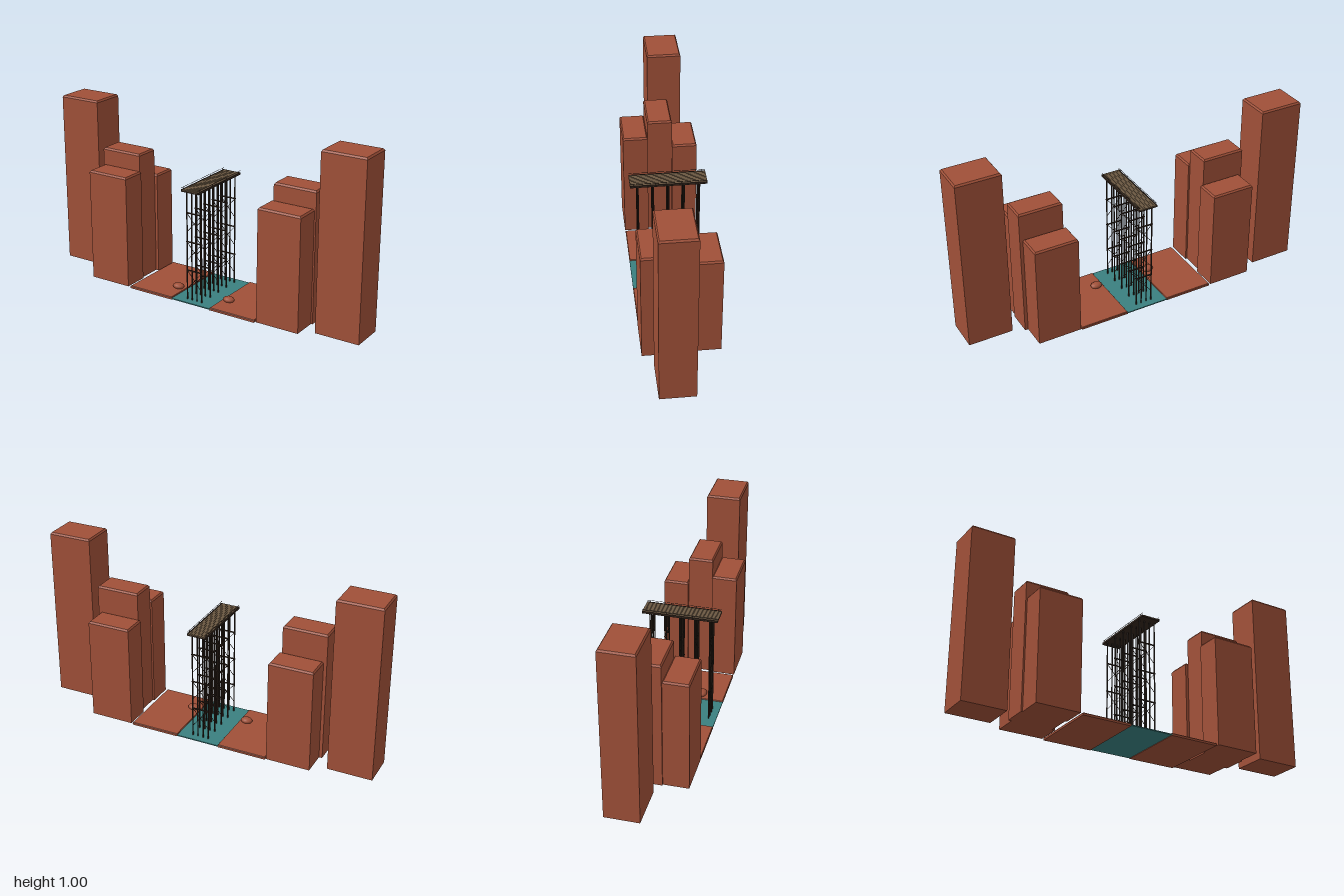
import * as THREE from 'three';

const brick = new THREE.MeshStandardMaterial({ color: 0xa05038, name: 'brick red' });
const water = new THREE.MeshStandardMaterial({ color: 0x3a8080, name: 'water teal' });
const timber = new THREE.MeshStandardMaterial({ color: 0x6b5842, name: 'deck timber' });
const iron = new THREE.MeshStandardMaterial({ color: 0x33261d, name: 'dark iron' });

function add(parent, name, geometry, material, x = 0, y = 0, z = 0) {
  const mesh = new THREE.Mesh(geometry, material);
  mesh.name = name;
  mesh.position.set(x, y, z);
  parent.add(mesh);
  return mesh;
}

// Box given by its limits, with a narrow chamfer around the top
function block(parent, name, [x0, x1], [y0, y1], [z0, z1], bevel) {
  const w = x1 - x0, h = y1 - y0, d = z1 - z0;
  const box = new THREE.BoxGeometry(w, h, d, 1, 2, 1);
  const p = box.attributes.position;
  for (let i = 0; i < p.count; i++) {
    const y = p.getY(i);
    if (Math.abs(y) < 1e-6) p.setY(i, h / 2 - bevel);
    else if (y > 0) {
      p.setX(i, p.getX(i) - Math.sign(p.getX(i)) * bevel * 0.7);
      p.setZ(i, p.getZ(i) - Math.sign(p.getZ(i)) * bevel * 0.7);
    }
  }
  const g = box.toNonIndexed();
  g.computeVertexNormals();
  return add(parent, name, g, brick, (x0 + x1) / 2, (y0 + y1) / 2, (z0 + z1) / 2);
}

// Thin rod between two points
function rod(parent, name, a, b, r, sides = 6) {
  const A = new THREE.Vector3(...a), B = new THREE.Vector3(...b);
  const dir = B.clone().sub(A);
  const m = add(parent, name, new THREE.CylinderGeometry(r, r, dir.length(), sides), iron);
  m.position.copy(A).add(B).multiplyScalar(0.5);
  m.quaternion.setFromUnitVectors(new THREE.Vector3(0, 1, 0), dir.normalize());
  return m;
}

export function createModel() {
  const model = new THREE.Group();
  model.name = 'canyonTrestle';

  // Stepped cliffs, banks and boulders on both sides
  for (const s of [-1, 1]) {
    const side = new THREE.Group();
    side.name = s < 0 ? 'rightCliffs' : 'leftCliffs';
    model.add(side);
    const span = (a, b) => (s > 0 ? [a, b] : [-b, -a]);
    block(side, 'tallCliff', span(0.747, 1), [0.008, 1.005], s > 0 ? [-0.04, 0.154] : [-0.154, 0.04], 0.01);
    block(side, 'middleCliff', span(0.434, 0.686), [0.008, 0.752], [-0.07, 0.07], 0.01);
    block(side, 'frontCliff', span(0.424, 0.677), [0.008, 0.655], [0.07, 0.212], 0.01);
    block(side, 'backCliff', span(0.417, 0.668), [0.008, 0.598], [-0.212, -0.07], 0.01);
    block(side, 'bank', span(0.125, 0.41), [0, 0.015], [-0.21, 0.21], 0.004);
    const rock = new THREE.IcosahedronGeometry(1, 1);
    rock.scale(0.035, 0.018, 0.027);
    add(side, 'boulder', rock, brick, s * 0.168, 0.026, 0.08);
  }

  add(model, 'river', new THREE.BoxGeometry(0.26, 0.006, 0.42), water, 0, 0.006, 0);

  // Trestle bents: four posts, three girts and crossed braces each
  const trestle = new THREE.Group();
  trestle.name = 'trestle';
  model.add(trestle);
  for (let i = -2; i <= 2; i++) {
    const z = i * 0.0835;
    for (const x of [-0.047, -0.016, 0.016, 0.047])
      rod(trestle, 'post', [x, 0.008, z], [x, 0.648, z], 0.004, 8);
    for (const y of [0.182, 0.35, 0.517]) {
      add(trestle, 'girt', new THREE.BoxGeometry(0.104, 0.006, 0.006), iron, 0, y, z);
      for (const s of [-1, 1])
        rod(trestle, 'brace', [-0.048 * s, y - 0.112, z], [0.048 * s, y, z], 0.0016);
    }
  }

  // Deck with lengthwise planks over a dark underside
  const deck = new THREE.Group();
  deck.name = 'deck';
  model.add(deck);
  add(deck, 'deckBase', new THREE.BoxGeometry(0.112, 0.007, 0.42), iron, 0, 0.652, 0);
  for (let i = -4; i <= 4; i++)
    add(deck, 'plank', new THREE.BoxGeometry(0.0095, 0.004, 0.42), timber, i * 0.011, 0.6575, 0);

  // Edge rails
  for (const s of [-1, 1]) {
    const x = s * 0.053;
    add(deck, 'edgeBeam', new THREE.BoxGeometry(0.005, 0.005, 0.42), iron, x, 0.658, 0);
    rod(deck, 'handrail', [x, 0.67, -0.21], [x, 0.67, 0.21], 0.0012);
    for (const z of [-0.19, -0.07, 0.07, 0.19])
      rod(deck, 'railPost', [x, 0.656, z], [x, 0.67, z], 0.0012);
  }
  return model;
}
